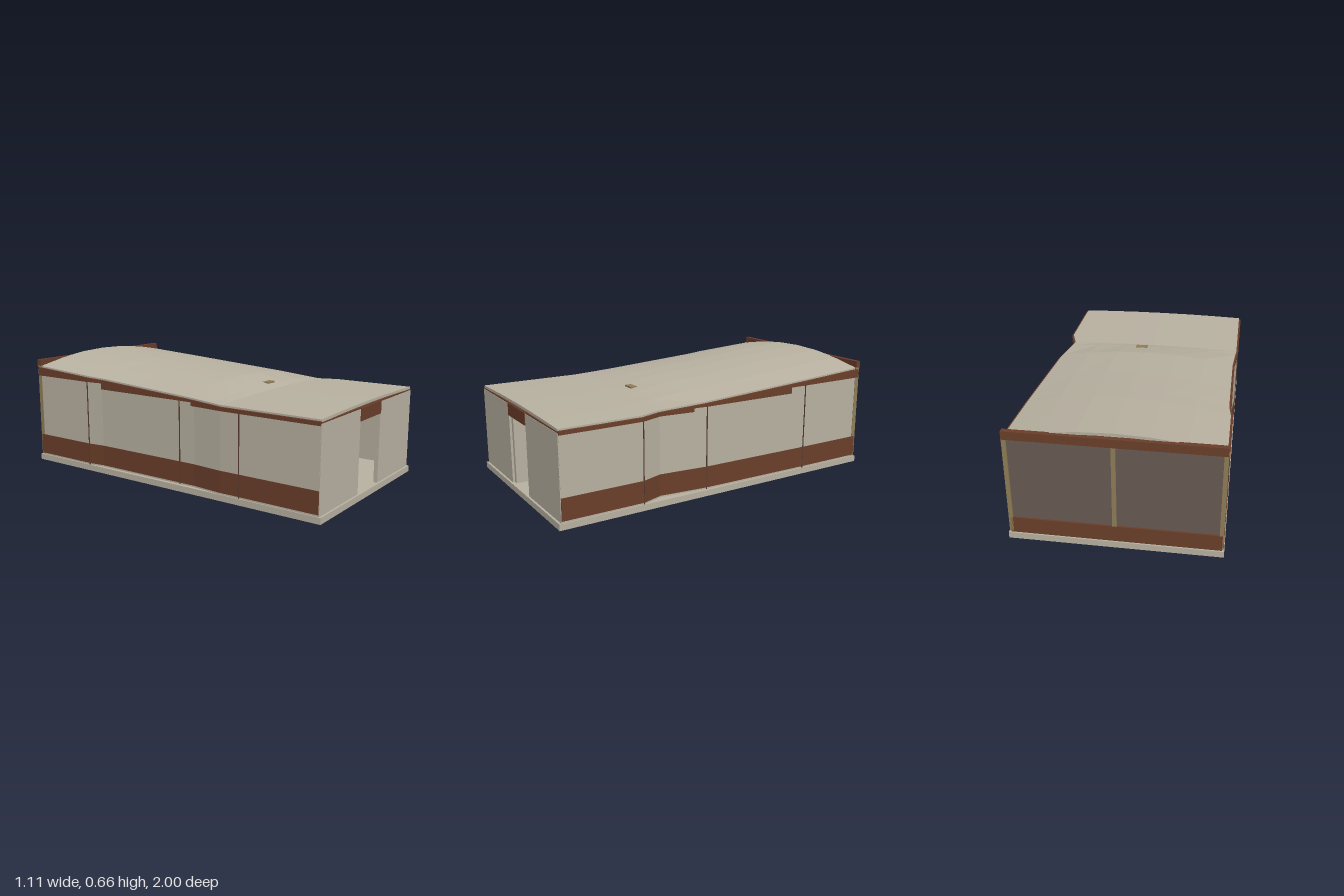
import * as THREE from 'three';

const mat = (name, color) => {
  const m = new THREE.MeshStandardMaterial({ color });
  m.name = name;
  return m;
};

// Linear interpolation along a short list of [z, value] points, z falling
function along(points, z) {
  if (z >= points[0][0]) return points[0][1];
  for (let i = 1; i < points.length; i++) {
    const [z0, v0] = points[i - 1], [z1, v1] = points[i];
    if (z >= z1) return v0 + (v1 - v0) * (z0 - z) / (z0 - z1);
  }
  return points[points.length - 1][1];
}

// Plan lines of the two bent side walls
const LEFT = [[0.985, 0.55], [0.52, 0.55], [0.4, 0.51], [0.12, 0.538], [-0.565, 0.549], [-0.985, 0.549]];
const RIGHT = [[0.985, -0.55], [0.4, -0.55], [0.22, -0.534], [-0.46, -0.536], [-0.565, -0.549], [-0.985, -0.549]];
// Roof heights at the eaves and along the crown
const EAVE = [[0.985, 0.515], [0.4, 0.515], [-0.985, 0.6]];
const CROWN = [[0.985, 0.525], [0.4, 0.525], [0.34, 0.54], [0.16, 0.577], [-0.2, 0.602], [-0.55, 0.634], [-0.985, 0.66]];
const ROOF_T = 0.015;

export function createModel() {
  const plaster = mat('plaster', 0xb8b1a1);
  const brown = mat('brown cladding', 0x6a3e2a);
  const glass = mat('dark glass', 0x675a52);
  const tan = mat('tan frame', 0x8f7d57);
  const darkWood = mat('dark wood', 0x563c30);

  const model = new THREE.Group();
  model.name = 'pavilion';

  function add(geometry, material, name, parent = model) {
    const mesh = new THREE.Mesh(geometry, material);
    mesh.name = name;
    parent.add(mesh);
    return mesh;
  }

  // Box given by its limits on each axis
  function block(name, material, [x0, x1], [y0, y1], [z0, z1], parent) {
    const g = new THREE.BoxGeometry(x1 - x0, y1 - y0, z1 - z0);
    const mesh = add(g, material, name, parent);
    mesh.position.set((x0 + x1) / 2, (y0 + y1) / 2, (z0 + z1) / 2);
    return mesh;
  }

  // Unit box with its vertices moved by a rule, faceted
  function shaped(nx, nz, rule) {
    const box = new THREE.BoxGeometry(1, 1, 1, nx, 1, nz);
    const p = box.attributes.position;
    const v = new THREE.Vector3();
    for (let i = 0; i < p.count; i++) {
      v.fromBufferAttribute(p, i);
      rule(v);
      p.setXYZ(i, v.x, v.y, v.z);
    }
    const flat = box.toNonIndexed();
    flat.computeVertexNormals();
    return flat;
  }

  // Floor slab
  block('floorSlab', plaster, [-0.556, 0.556], [0, 0.035], [-1, 1]);

  // Side walls, each with a lower band and a stepped fascia under the eaves
  const eaveBottom = z => along(EAVE, z) - ROOF_T;
  const fasciaLow = z => (z > 0.2 ? 0.485 : z > -0.46 ? 0.505 : 0.54);

  function strip(group, name, material, plan, z0, z1, offset, depth, low, high) {
    const side = Math.sign(plan[0][1]);
    add(shaped(1, 1, v => {
      const z = v.z > 0 ? z0 : z1;
      const outer = v.x * side > 0;
      v.x = along(plan, z) + side * (outer ? offset : offset - depth);
      v.y = v.y > 0 ? high(z) : low;
      v.z = z;
    }), material, name, group);
  }

  for (const [side, plan] of [['left', LEFT], ['right', RIGHT]]) {
    const group = new THREE.Group();
    group.name = side + 'Side';
    model.add(group);
    const stops = [...new Set([...plan.map(p => p[0]), 0.4, 0.2, -0.46])].sort((a, b) => b - a);
    for (let i = 1; i < stops.length; i++) {
      const z0 = stops[i - 1], z1 = stops[i];
      const mid = (z0 + z1) / 2;
      strip(group, 'sideWall', plaster, plan, z0, z1, 0, 0.015, 0.035, eaveBottom);
      strip(group, 'lowerBand', brown, plan, z0, z1, 0.004, 0.006, 0.045, () => 0.165);
      strip(group, 'fascia', brown, plan, z0, z1, 0.006, 0.012, fasciaLow(mid), z => eaveBottom(z) + 0.006);
    }
    // Narrow dark joints between wall panels
    for (const z of [0.52, 0.12, -0.565]) {
      strip(group, 'panelJoint', darkWood, plan, z + 0.002, z - 0.002, 0.005, 0.007, 0.036, eaveBottom);
    }
  }

  // Domed roof sheet that follows the side walls and rises to the rear
  const roofZ = [0.985, 0.52, 0.4, 0.34, 0.16, 0.12, -0.2, -0.46, -0.565, -0.78, -0.978];
  const nz = roofZ.length - 1;
  add(shaped(6, nz, v => {
    const z = roofZ[Math.round((0.5 - v.z) * nz)];
    const u = v.x * 2;
    const l = along(LEFT, z) - 0.006, r = along(RIGHT, z) + 0.006;
    const eave = along(EAVE, z);
    const y = eave + (along(CROWN, z) - eave) * (1 - u * u);
    v.set(r + (l - r) * (u + 1) / 2, v.y > 0 ? y : y - ROOF_T, z);
  }), plaster, 'roof');

  block('roofHatch', tan, [0.017, 0.088], [0.533, 0.549], [0.297, 0.336]);

  // Front wall with the doorway
  const front = new THREE.Group();
  front.name = 'front';
  model.add(front);
  for (const s of [-1, 1]) {
    const xs = [s * 0.125, s * 0.549].sort((a, b) => a - b);
    block('frontWall', plaster, xs, [0.035, 0.495], [0.965, 0.988], front);
  }
  block('lintel', brown, [-0.125, 0.125], [0.43, 0.5], [0.965, 0.992], front);
  block('frontFascia', brown, [-0.545, 0.545], [0.493, 0.502], [0.965, 0.986], front);
  block('hallPartition', plaster, [-0.125, -0.1], [0.035, 0.43], [0.35, 0.975], front);

  // Glazed rear wall with posts, lower panel and top beam
  const rear = new THREE.Group();
  rear.name = 'rear';
  model.add(rear);
  block('rearGlass', glass, [-0.54, 0.54], [0.12, 0.61], [-0.982, -0.974], rear);
  block('rearPanel', brown, [-0.545, 0.545], [0.035, 0.125], [-0.992, -0.97], rear);
  block('rearBeam', brown, [-0.549, 0.549], [0.592, 0.638], [-1, -0.972], rear);
  for (const x of [-0.54, 0, 0.54]) {
    block('rearPost', tan, [x - 0.011, x + 0.011], [x ? 0.04 : 0.12, 0.6], [-0.992, -0.965], rear);
  }

  // Low cabinet inside, below the windows
  block('cabinet', brown, [-0.5, 0.5], [0.035, 0.18], [-0.95, -0.88]);
  block('cabinetTop', brown, [-0.51, 0.51], [0.18, 0.19], [-0.955, -0.87]);
  block('cabinetRail', darkWood, [-0.5, 0.5], [0.083, 0.087], [-0.882, -0.876]);

  // Table with splayed legs
  const table = new THREE.Group();
  table.name = 'table';
  model.add(table);
  block('tableTop', darkWood, [-0.05, 0.102], [0.129, 0.137], [-0.4, -0.2], table);
  for (const s of [-1, 1]) {
    for (const z of [-0.37, -0.23]) {
      const x = 0.026 + s * 0.046;
      const leg = block('tableLeg', darkWood, [x - 0.005, x + 0.005], [0.034, 0.131], [z - 0.005, z + 0.005], table);
      leg.rotation.z = s * 0.15;
    }
  }
  block('tableRail', darkWood, [-0.02, 0.072], [0.07, 0.077], [-0.304, -0.296], table);

  return model;
}
